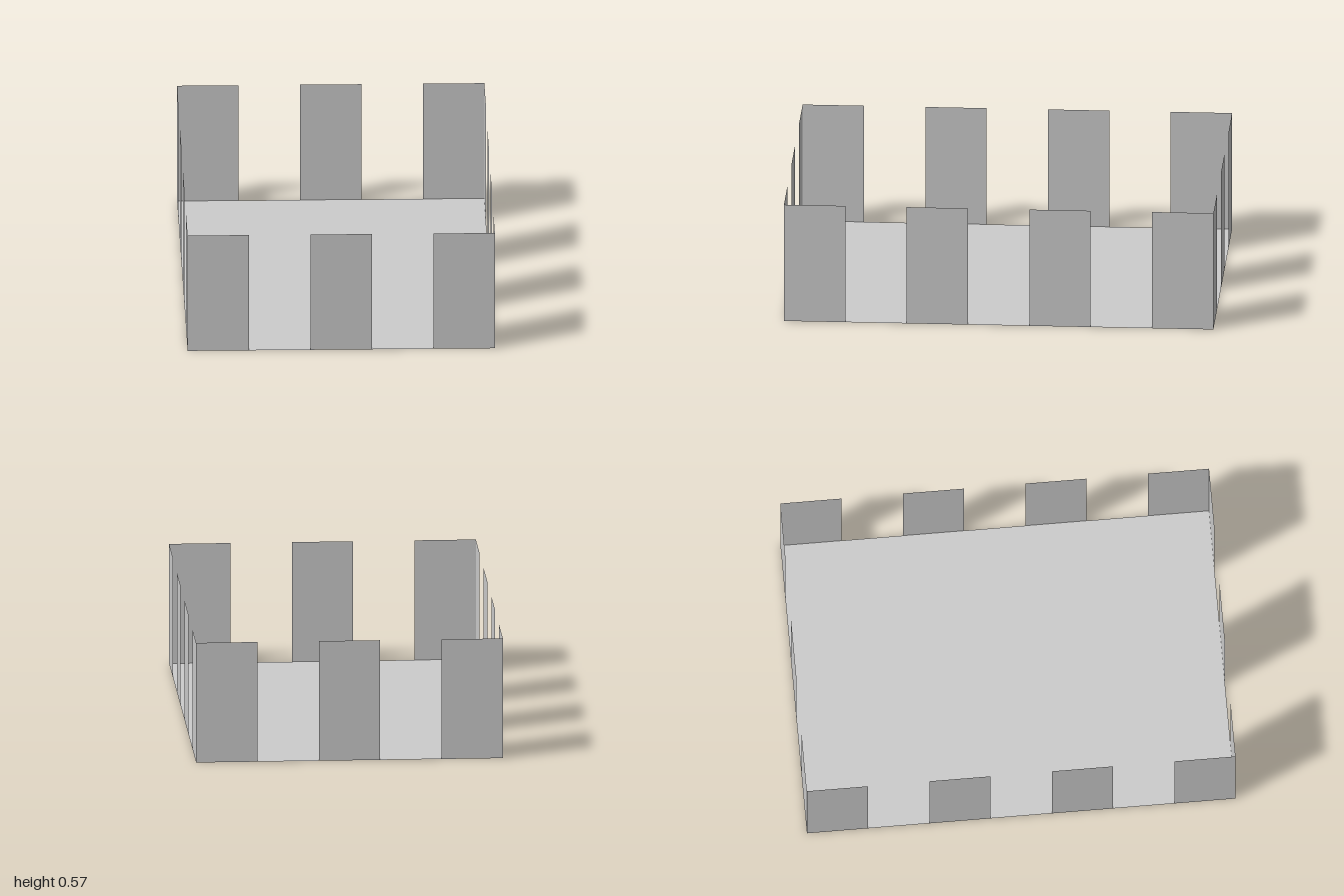
import * as THREE from 'three';

export function createModel() {
  const group = new THREE.Group();
  const u = 1 / 7; // layout module
  const height = 4 * u;

  const grey = new THREE.MeshStandardMaterial({ color: 0xcccccc, side: THREE.DoubleSide });
  grey.name = 'light grey';

  // Floor sheet
  const floor = new THREE.Mesh(new THREE.PlaneGeometry(10 * u, 14 * u).rotateX(-Math.PI / 2), grey);
  floor.name = 'floor';
  group.add(floor);

  // Upright sheets, spaced evenly along each edge with gaps of their own width
  const panelGeometry = new THREE.PlaneGeometry(2 * u, height).translate(0, height / 2, 0);
  function addPanel(name, x, z, turn) {
    const panel = new THREE.Mesh(panelGeometry, grey);
    panel.name = name;
    panel.position.set(x, 0, z);
    panel.rotation.y = turn;
    group.add(panel);
  }

  for (const side of [1, -1]) {
    // Front and back walls
    for (const x of [-4, 0, 4]) {
      addPanel(side > 0 ? 'frontPanel' : 'backPanel', x * u, side * 7 * u, side > 0 ? 0 : Math.PI);
    }
    // Left and right walls
    for (const z of [-6, -2, 2, 6]) {
      addPanel(side > 0 ? 'leftPanel' : 'rightPanel', side * 5 * u, z * u, side * Math.PI / 2);
    }
  }

  return group;
}
